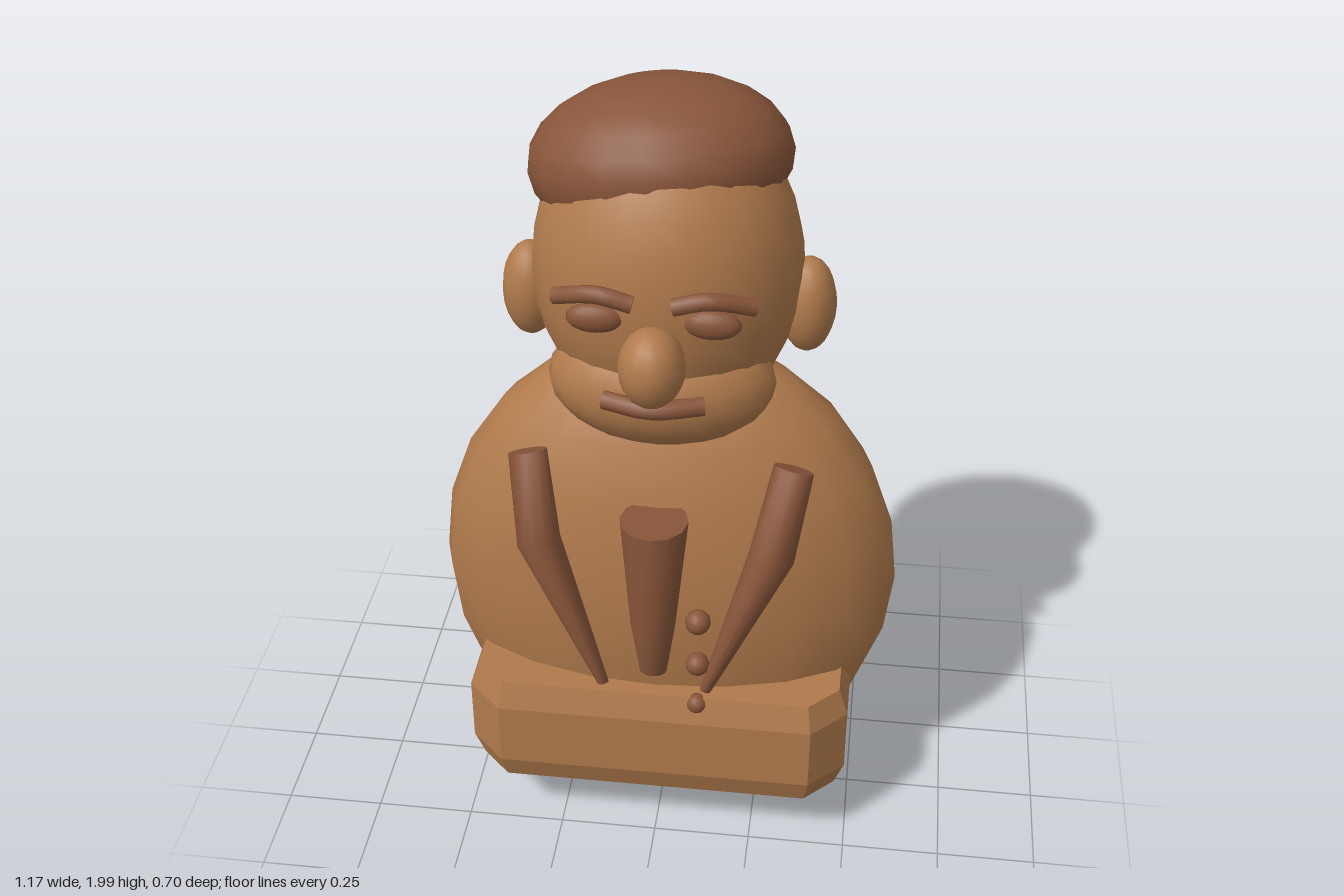
import * as THREE from 'three';

export function createModel() {
  const model = new THREE.Group();
  const wood = new THREE.MeshStandardMaterial({ color: 0xb07a4c });
  wood.name = 'light wood';
  const darkWood = new THREE.MeshStandardMaterial({ color: 0x88553a });
  darkWood.name = 'dark wood';

  function add(name, geometry, material) {
    const mesh = new THREE.Mesh(geometry, material);
    mesh.name = name;
    model.add(mesh);
    return mesh;
  }

  function ellipsoid(name, material, position, radii, w = 20, h = 12) {
    const mesh = add(name, new THREE.SphereGeometry(1, w, h), material);
    mesh.position.set(...position);
    mesh.scale.set(...radii);
    return mesh;
  }

  // Closed loft through elliptical sections [x, y, z, halfWidth, halfDepth], top to bottom
  function loft(sections, slopeX = 0, slopeZ = 0, sides = 12) {
    const ring = ([x, y, z, w, d]) => Array.from({ length: sides }, (_, i) => {
      const a = (i / sides) * Math.PI * 2;
      const dx = Math.sin(a) * w, dz = Math.cos(a) * d;
      return [x + dx, y + dx * slopeX + dz * slopeZ, z + dz];
    });
    const rings = sections.map(ring);
    const pos = [], index = [];
    rings.forEach(r => r.forEach(p => pos.push(...p)));
    for (let s = 0; s < rings.length - 1; s++) {
      for (let i = 0; i < sides; i++) {
        const a = s * sides + i, b = s * sides + (i + 1) % sides;
        index.push(a, a + sides, b, b, a + sides, b + sides);
      }
    }
    // End caps use their own vertices so the rims stay sharp
    for (const [r, top] of [[rings[0], true], [rings[rings.length - 1], false]]) {
      const start = pos.length / 3;
      r.forEach(p => pos.push(...p));
      for (let i = 1; i < sides - 1; i++) {
        if (top) index.push(start, start + i, start + i + 1);
        else index.push(start, start + i + 1, start + i);
      }
    }
    const g = new THREE.BufferGeometry();
    g.setAttribute('position', new THREE.Float32BufferAttribute(pos, 3));
    g.setIndex(index);
    g.computeVertexNormals();
    return g;
  }

  // Bent round rod with flat ends
  function rod(name, points, radius) {
    const path = new THREE.CatmullRomCurve3(points.map(p => new THREE.Vector3(...p)));
    add(name, new THREE.TubeGeometry(path, 8, radius, 8), darkWood);
    for (const t of [0, 1]) {
      const cap = add(name + 'End', new THREE.CircleGeometry(radius, 8), darkWood);
      const p = path.getPoint(t);
      cap.position.copy(p);
      cap.lookAt(p.clone().addScaledVector(path.getTangent(t), t ? 1 : -1));
    }
  }

  // Body, head and jaw
  ellipsoid('body', wood, [0, 0.675, -0.06], [0.585, 0.67, 0.29]);
  ellipsoid('head', wood, [0, 1.56, -0.035], [0.32, 0.4, 0.285], 24, 16);
  ellipsoid('jaw', wood, [0, 1.32, 0.08], [0.27, 0.16, 0.17]);
  ellipsoid('nose', wood, [0, 1.455, 0.267], [0.077, 0.097, 0.083], 16, 12);

  // Tilted cap of hair
  const hair = ellipsoid('hair', darkWood, [-0.025, 1.802, -0.09], [0.31, 0.19, 0.265]);
  hair.rotation.set(-0.2, 0, 0.12);

  // Paired features
  for (const side of [-1, 1]) {
    const label = side > 0 ? 'left' : 'right';
    ellipsoid(label + 'Ear', wood, [side * 0.33, 1.47, -0.04], [0.067, 0.121, 0.073], 16, 12);
    ellipsoid(label + 'Eye', darkWood, [side * 0.132, 1.555, 0.233], [0.066, 0.036, 0.028], 14, 10);
    rod(label + 'Eyebrow', [
      [side * 0.045, 1.603, 0.252], [side * 0.125, 1.622, 0.25], [side * 0.225, 1.593, 0.212],
    ], 0.021);
    add(label + 'Lapel', loft([
      [side * 0.322, 1.112, 0.127, 0.048, 0.036],
      [side * 0.282, 0.925, 0.235, 0.054, 0.065],
      [side * 0.13, 0.507, 0.252, 0.014, 0.02],
    ], side * -0.25, 0.4), darkWood);
  }

  // Moustache
  rod('moustache', [[-0.115, 1.342, 0.235], [0, 1.342, 0.268], [0.115, 1.342, 0.235]], 0.023);

  // Tie and buttons
  add('tie', loft([
    [0, 1.015, 0.24, 0.083, 0.085],
    [0, 0.72, 0.27, 0.055, 0.055],
    [0, 0.575, 0.268, 0.034, 0.026],
  ]), darkWood);
  [[0.715, 0.24, 0.032], [0.585, 0.245, 0.03], [0.46, 0.25, 0.026]].forEach(([y, z, r], i) =>
    ellipsoid('button' + (i + 1), darkWood, [0.108, y, z], [r, r, r], 14, 10));

  // Base block: rectangle with cut corners and bevelled rims
  const cut = 0.075, bevel = 0.03;
  const hx = 0.495 - bevel, hz = 0.3025 - bevel * 0.7;
  const outline = new THREE.Shape([
    [-hx + cut, -hz], [hx - cut, -hz], [hx, -hz + cut], [hx, hz - cut],
    [hx - cut, hz], [-hx + cut, hz], [-hx, hz - cut], [-hx, -hz + cut],
  ].map(p => new THREE.Vector2(...p)));
  const block = new THREE.ExtrudeGeometry(outline, {
    depth: 0.175, bevelEnabled: true, bevelThickness: 0.07, bevelSize: bevel * 0.8, bevelSegments: 1,
  });
  block.rotateX(-Math.PI / 2);
  block.translate(0, 0.235, -0.0275);
  add('base', block, wood);

  return model;
}
